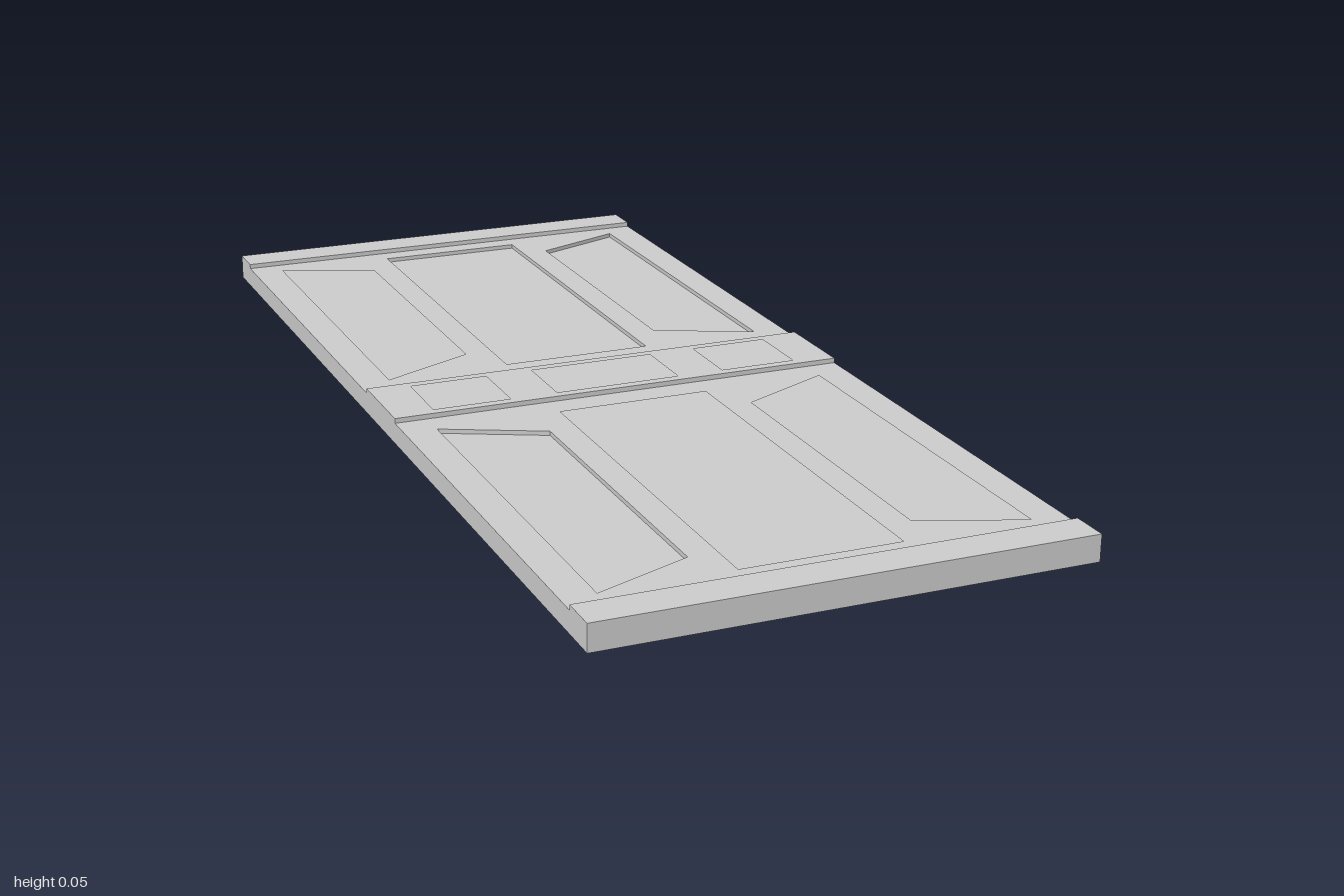
import * as THREE from 'three';

const HALF_W = 0.435;
const material = new THREE.MeshStandardMaterial({ color: 0xcccccc, flatShading: true });

const rect = (x0, x1, z0, z1) => [[x0, z0], [x1, z0], [x1, z1], [x0, z1]];

// Flat layer with an outline and holes given in x,z, spanning y0 to y1
function layer(name, outline, holes, y0, y1) {
  const toPoints = (pts) => pts.map(([x, z]) => new THREE.Vector2(x, -z));
  const shape = new THREE.Shape(toPoints(outline));
  holes.forEach((h) => shape.holes.push(new THREE.Path(toPoints(h))));
  const geometry = new THREE.ExtrudeGeometry(shape, { depth: y1 - y0, bevelEnabled: false });
  geometry.rotateX(-Math.PI / 2);
  geometry.translate(0, y0, 0);
  const mesh = new THREE.Mesh(geometry, material);
  mesh.name = name;
  return mesh;
}

export function createModel() {
  const group = new THREE.Group();
  group.name = 'panelledDoor';
  const full = rect(-HALF_W, HALF_W, -1, 1);

  // Tall recesses: a centre rectangle and two tapered side panels in each half
  const tallPanels = [];
  for (const s of [-1, 1]) {
    tallPanels.push(rect(-0.143, 0.143, s * 0.14, s * 0.89));
    for (const m of [-1, 1]) {
      tallPanels.push([[m * 0.375, s * 0.14], [m * 0.375, s * 0.89], [m * 0.195, s * 0.818], [m * 0.195, s * 0.225]]);
    }
  }

  // Back skin with one shallow recess, solid core, and panelled face
  group.add(layer('backSkin', full, [rect(-0.145, 0.145, -0.81, -0.22)], 0, 0.004));
  group.add(layer('core', full, [], 0.004, 0.031));
  group.add(layer('panelledFace', full, tallPanels, 0.031, 0.039));

  // Raised middle rail with three small recesses
  const smallPanels = [
    rect(-0.357, -0.21, -0.066, 0.066),
    rect(-0.12, 0.12, -0.066, 0.066),
    rect(0.21, 0.357, -0.066, 0.066),
  ];
  group.add(layer('middleRail', rect(-HALF_W, HALF_W, -0.085, 0.085), smallPanels, 0.039, 0.048));

  // Raised rails at both ends
  for (const s of [-1, 1]) {
    group.add(layer(s > 0 ? 'frontRail' : 'backRail', rect(-HALF_W, HALF_W, s * 0.93, s), [], 0.039, 0.048));
  }
  return group;
}
